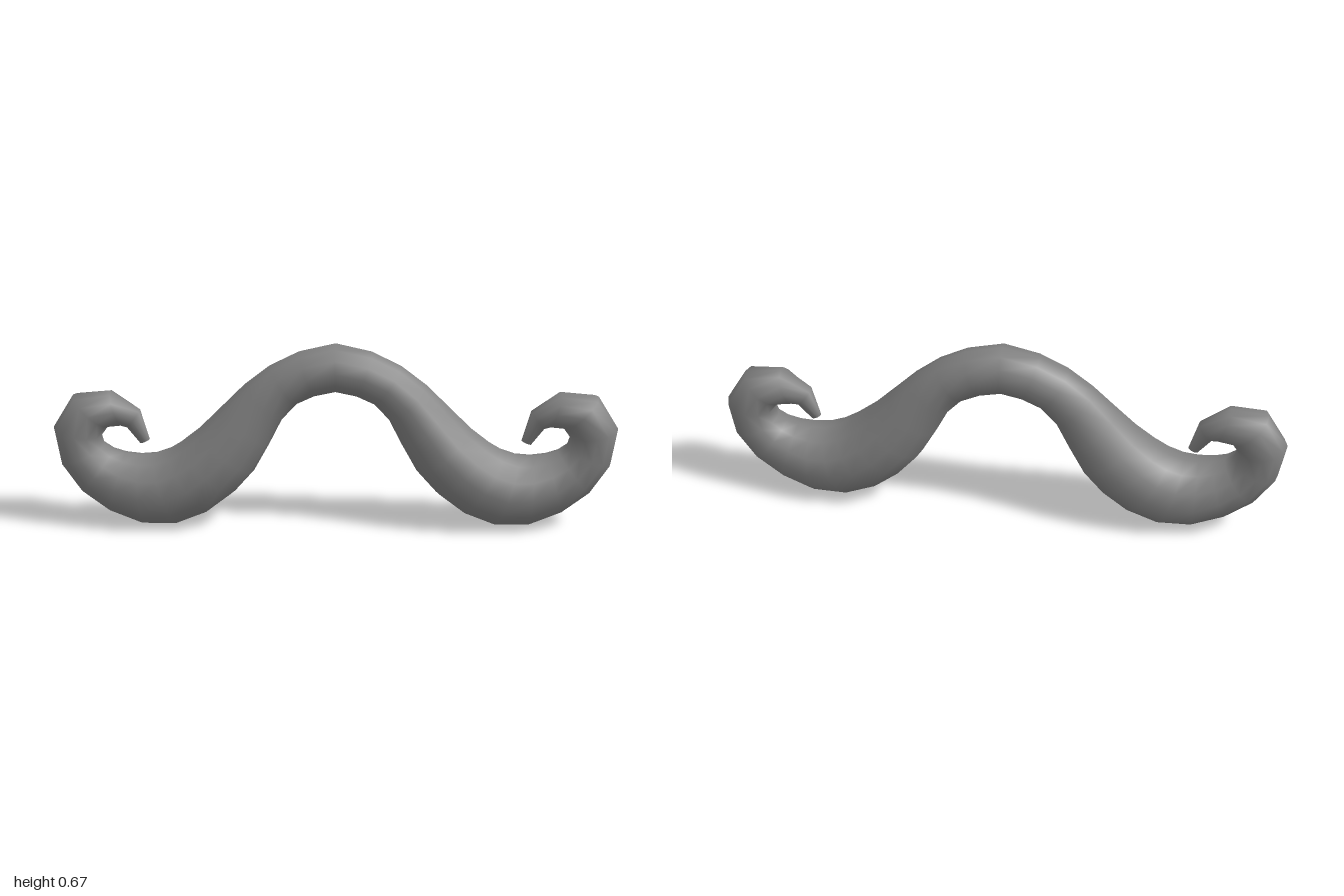
import * as THREE from 'three';

// Half profile from the middle to the curled tip: [upper/inner x, y, lower/outer x, y, half depth]
const PROFILE = [
  [0, 0.67, 0, 0.495, 0.088], [0.13, 0.64, 0.07, 0.48, 0.087], [0.23, 0.59, 0.135, 0.45, 0.087],
  [0.32, 0.52, 0.19, 0.39, 0.093], [0.4, 0.44, 0.235, 0.3, 0.11], [0.48, 0.36, 0.29, 0.2, 0.13],
  [0.55, 0.305, 0.36, 0.12, 0.14], [0.6, 0.275, 0.45, 0.05, 0.142], [0.65, 0.258, 0.565, 0.003, 0.139],
  [0.7, 0.255, 0.69, 0.003, 0.13], [0.75, 0.262, 0.81, 0.05, 0.114], [0.79, 0.275, 0.91, 0.125, 0.1],
  [0.82, 0.295, 0.98, 0.23, 0.09], [0.83, 0.33, 1, 0.36, 0.087], [0.805, 0.365, 0.925, 0.48, 0.083],
  [0.755, 0.367, 0.795, 0.495, 0.064], [0.74, 0.36, 0.69, 0.425, 0.036], [0.695, 0.3, 0.66, 0.315, 0.014],
];
const SIDES = 12;

// Round cross-section spanning the two edge points of a profile entry
function ring([ux, uy, lx, ly, depth], mirror) {
  const cx = (ux + lx) / 2, cy = (uy + ly) / 2;
  const dx = (ux - lx) / 2, dy = (uy - ly) / 2;
  return Array.from({ length: SIDES }, (_, k) => {
    const a = (k / SIDES) * Math.PI * 2;
    const c = Math.cos(a);
    return [mirror * (cx + dx * c), cy + dy * c, depth * Math.sin(a)];
  });
}

function meshFrom(name, positions, index, material) {
  const geometry = new THREE.BufferGeometry();
  geometry.setAttribute('position', new THREE.Float32BufferAttribute(positions.flat(), 3));
  geometry.setIndex(index);
  geometry.computeVertexNormals();
  const mesh = new THREE.Mesh(geometry, material);
  mesh.name = name;
  return mesh;
}

export function createModel() {
  const group = new THREE.Group();
  group.name = 'curledMoustache';
  const material = new THREE.MeshStandardMaterial({ color: 0x828282 });

  // Rings from the right tip, through the middle, to the left tip
  const rings = [
    ...PROFILE.slice(1).reverse().map((p) => ring(p, -1)),
    ...PROFILE.map((p) => ring(p, 1)),
  ];

  // Smooth swept body
  const index = [];
  for (let i = 0; i < rings.length - 1; i++) {
    for (let k = 0; k < SIDES; k++) {
      const n = (k + 1) % SIDES;
      const a = i * SIDES + k, b = i * SIDES + n;
      const c = a + SIDES, d = b + SIDES;
      index.push(a, b, c, b, d, c);
    }
  }
  group.add(meshFrom('moustacheBody', rings.flat(), index, material));

  // Small flat caps closing the tips
  const fan = [];
  for (let k = 1; k < SIDES - 1; k++) fan.push(0, k, k + 1);
  group.add(meshFrom('leftTipCap', rings[rings.length - 1], fan, material));
  group.add(meshFrom('rightTipCap', rings[0], [...fan].reverse(), material));

  return group;
}
